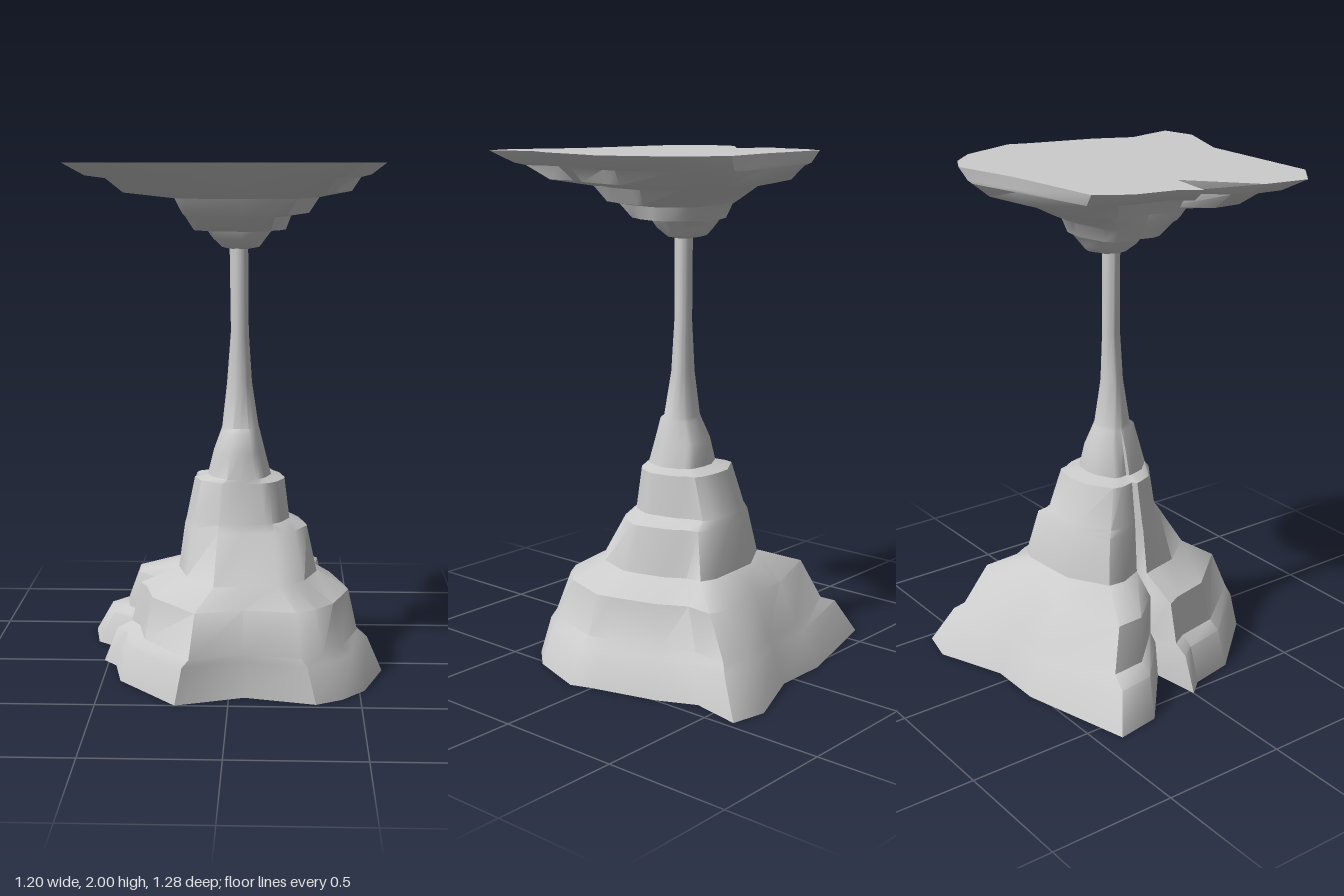
import * as THREE from 'three';
import { toCreasedNormals } from 'three/addons/utils/BufferGeometryUtils.js';

const CX = 0.03; // the column's axis sits slightly off centre

// Ragged rim outline; the two corners p and q differ between floor and ceiling
const outline = (p, q) => [
  [0.57, 0], [0.6, 0.085], [0.52, 0.32], [0.43, 0.42], [0.33, 0.475], [0.06, 0.41],
  p, [-0.43, 0.24], [-0.465, 0.065], [-0.52, 0], [-0.33, -0.03], [-0.57, -0.235],
  [-0.6, -0.41], q, [0.06, -0.53], [0.33, -0.64], [0.47, -0.61], [0.43, -0.41], [0.5, -0.26],
];

// Terraces: height, xMin, xMax, zMin, zMax, roundness
const terraces = [
  [0, -0.6, 0.6, -0.64, 0.5, 0],
  [0.14, -0.53, 0.54, -0.56, 0.485, 0.08],
  [0.17, -0.46, 0.5, -0.53, 0.48, 0.12],
  [0.33, -0.41, 0.465, -0.44, 0.42, 0.25],
  [0.4, -0.23, 0.34, -0.31, 0.31, 0.5],
  [0.58, -0.2, 0.3, -0.27, 0.19, 0.6],
  [0.61, -0.19, 0.23, -0.25, 0.17, 0.65],
  [0.77, -0.155, 0.21, -0.19, 0.15, 0.7],
  [0.785, -0.1, 0.155, -0.115, 0.145, 0.75],
  [0.88, -0.075, 0.13, -0.1, 0.12, 0.8],
  [0.96, -0.045, 0.11, -0.06, 0.1, 0.85],
  [0.975, -0.04, 0.105, -0.055, 0.08, 0.9],
];
const stem = [
  [1.15, -0.02, 0.078, -0.033, 0.052, 1],
  [1.35, -0.005, 0.065, -0.03, 0.04, 1],
  [1.69, -0.01, 0.062, -0.03, 0.04, 1],
];

// One ring of points: the rim outline fitted to a terrace and rounded off
function ring(rim, [y, x0, x1, z0, z1, round]) {
  return rim.map(([x, z]) => {
    let u = (x - CX) / (x > CX ? 0.6 - CX : 0.6 + CX);
    let v = z / (z > 0 ? 0.5 : 0.64);
    const k = 1 - round + round / Math.hypot(u, v);
    u *= k;
    v *= k;
    return [CX + (u > 0 ? u * (x1 - CX) : u * (CX - x0)), y, v > 0 ? v * z1 : -v * z0];
  });
}

// Skin the rings and close both ends with fans
function loft(rim, levels) {
  const n = rim.length, m = levels.length;
  const pos = levels.flatMap((l) => ring(rim, l)).flat();
  pos.push(CX, levels[0][0], 0, CX, levels[m - 1][0], 0);
  const index = [];
  for (let i = 0; i < n; i++) {
    const j = (i + 1) % n;
    for (let k = 0; k < m - 1; k++) {
      const a = k * n + i, b = k * n + j;
      index.push(a, a + n, b, b, a + n, b + n);
    }
    index.push(m * n, i, j, m * n + 1, (m - 1) * n + j, (m - 1) * n + i);
  }
  const geo = new THREE.BufferGeometry();
  geo.setAttribute('position', new THREE.Float32BufferAttribute(pos, 3));
  geo.setIndex(index);
  return toCreasedNormals(geo, 0.75);
}

export function createModel() {
  const group = new THREE.Group();
  group.name = 'caveColumn';
  const material = new THREE.MeshStandardMaterial({ color: 0xcccccc });

  // Floor mound tapering into the thin stem
  const mound = new THREE.Mesh(
    loft(outline([-0.2, 0.5], [-0.16, -0.53]), [...terraces, ...stem]), material);
  mound.name = 'moundAndStem';

  // Ceiling cap: the same terraces flattened and turned upside down
  const flat = terraces.map(([y, ...rest]) => [y * 0.33, ...rest]);
  flat.push([0.33, 0, 0.06, -0.035, 0.03, 1]);
  const cap = new THREE.Mesh(
    loft(outline([-0.35, 0.36], [-0.47, -0.52]), flat), material);
  cap.name = 'ceilingCap';
  cap.rotation.x = Math.PI;
  cap.position.y = 2;

  group.add(mound, cap);
  return group;
}
